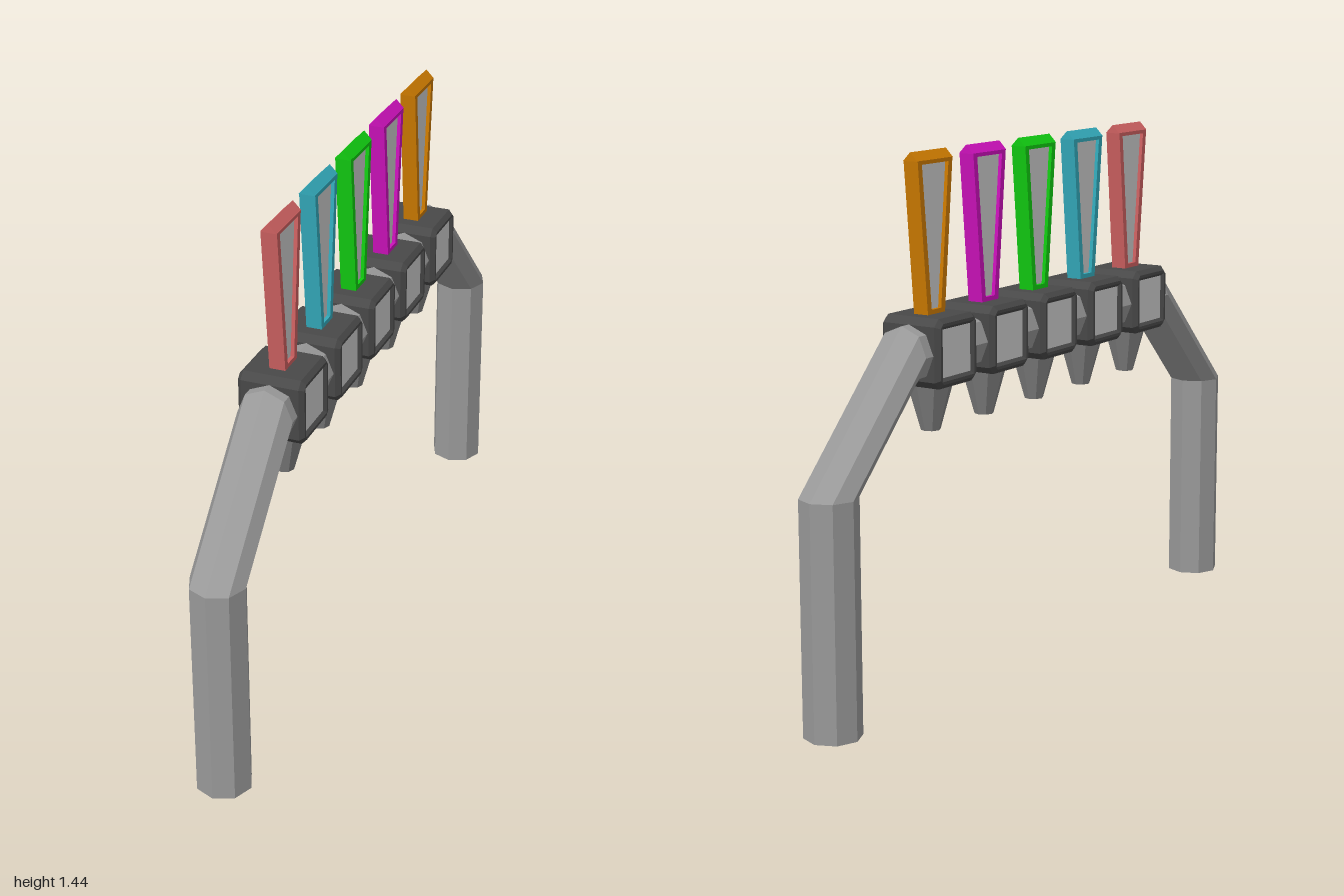
import * as THREE from 'three';

const mat = (color) => new THREE.MeshStandardMaterial({ color, flatShading: true, side: THREE.DoubleSide });

function add(parent, name, geometry, material) {
  const mesh = new THREE.Mesh(geometry, material);
  mesh.name = name;
  parent.add(mesh);
  return mesh;
}

const polygon = (pts, Type = THREE.Shape) => new Type(pts.map(([x, y]) => new THREE.Vector2(x, y)));

// Extrude a side outline (z, y) symmetrically across x
function extrudeAcross(shape, depth, bevel = 0) {
  const geo = new THREE.ExtrudeGeometry(shape, {
    depth, bevelEnabled: bevel > 0, bevelSize: bevel, bevelThickness: bevel, bevelSegments: 1,
  });
  return geo.translate(0, 0, -depth / 2).rotateY(Math.PI / 2);
}

// Octagonal arch pipe: level cuts on the legs, upright cuts on the beam
function archGeometry() {
  const sides = 8, r = 0.076;
  const stations = [ // y, z, outward y, outward z
    [0, 0.924, 0, 1], [0.617, 0.924, 0, 1], [0.924, 0.615, 1, 0],
    [0.924, -0.615, 1, 0], [0.617, -0.924, 0, -1], [0, -0.924, 0, -1],
  ];
  const pos = [], index = [];
  for (const [y, z, ny, nz] of stations) {
    for (let j = 0; j < sides; j++) {
      const a = (j / sides) * Math.PI * 2, out = r * Math.cos(a);
      pos.push(r * Math.sin(a), y + ny * out, z + nz * out);
    }
  }
  const last = (stations.length - 1) * sides;
  for (let s = 0; s < last; s += sides) {
    for (let j = 0; j < sides; j++) {
      const k = (j + 1) % sides;
      index.push(s + j, s + k, s + sides + j, s + k, s + sides + k, s + sides + j);
    }
  }
  for (let j = 1; j < sides - 1; j++) { // foot caps
    index.push(0, j + 1, j, last, last + j, last + j + 1);
  }
  const geo = new THREE.BufferGeometry();
  geo.setAttribute('position', new THREE.Float32BufferAttribute(pos, 3));
  geo.setIndex(index);
  const flat = geo.toNonIndexed();
  flat.computeVertexNormals();
  return flat;
}

// Chamfered square ring with a window towards each side
function housingGeometry() {
  const h = 0.079, c = 0.012, w = 0.071;
  const shape = polygon([
    [-h + c, -h], [h - c, -h], [h, -h + c], [h, h - c],
    [h - c, h], [-h + c, h], [-h, h - c], [-h, -h + c],
  ]);
  shape.holes.push(polygon([[-w, -w], [-w, w], [w, w], [w, -w]], THREE.Path));
  return extrudeAcross(shape, 0.158, 0.012);
}

// Tapered fin outlines
const trapezoid = (y0, w0, y1, w1) => [[-w0, y0], [w0, y0], [w1, y1], [-w1, y1]];

function finFrameGeometry() {
  const shape = polygon(trapezoid(1.0, 0.036, 1.415, 0.076));
  shape.holes.push(polygon(trapezoid(1.03, 0.021, 1.405, 0.058).reverse(), THREE.Path));
  return extrudeAcross(shape, 0.044);
}

function finRidgeGeometry() {
  const len = 0.156;
  const shape = polygon([[-0.022, 1.414], [0.022, 1.414], [0, 1.437]]);
  return new THREE.ExtrudeGeometry(shape, { depth: len, bevelEnabled: false }).translate(0, 0, -len / 2);
}

export function createModel() {
  const model = new THREE.Group();
  model.name = 'archWithFins';
  const pipe = mat(0x999999), dark = mat(0x484848), panel = mat(0xcccccc), cone = mat(0x808080);

  add(model, 'archPipe', archGeometry(), pipe);

  const housing = housingGeometry();
  const windowPanel = new THREE.BoxGeometry(0.166, 0.13, 0.13);
  const nozzle = new THREE.CylinderGeometry(0.064, 0.026, 0.135, 8);
  const finFrame = finFrameGeometry();
  const finRidge = finRidgeGeometry();
  const finPanel = extrudeAcross(polygon(trapezoid(1.025, 0.023, 1.41, 0.061)), 0.024);

  // Five units along the beam, front to back
  const colors = [0xcc6060, 0x33aabb, 0x11cc11, 0xcc11bb, 0xcc7a00];
  colors.forEach((color, i) => {
    const unit = new THREE.Group();
    unit.name = `unit${i + 1}`;
    unit.position.z = (2 - i) * 0.2465;
    model.add(unit);

    add(unit, 'housing', housing, dark).position.y = 0.927;
    add(unit, 'housingPanel', windowPanel, panel).position.y = 0.927;
    add(unit, 'nozzle', nozzle, cone).position.y = 0.7775;

    const tint = mat(color);
    add(unit, 'finFrame', finFrame, tint);
    add(unit, 'finRidge', finRidge, tint);
    add(unit, 'finPanel', finPanel, panel);
  });
  return model;
}
